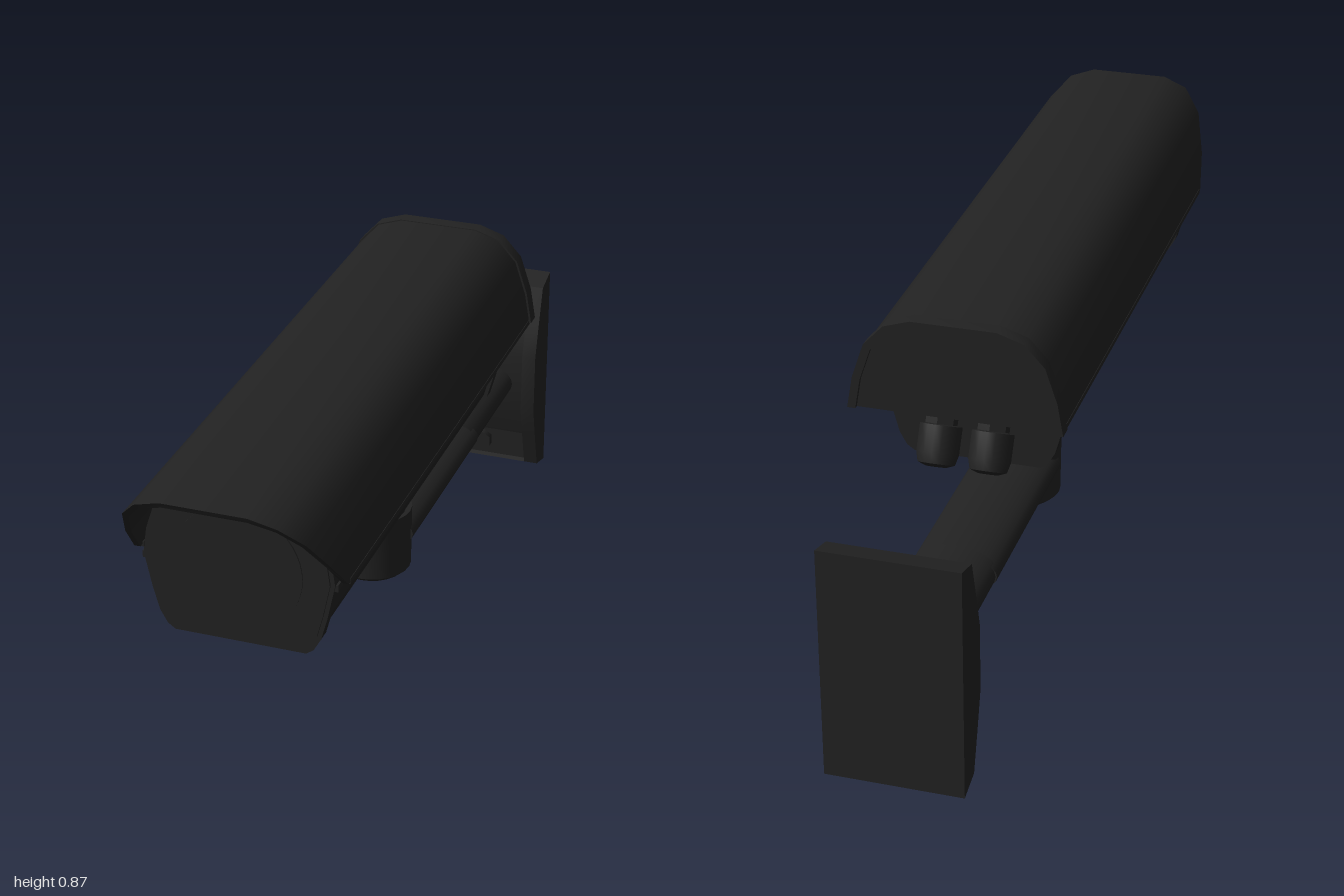
import * as THREE from 'three';
import { toCreasedNormals } from 'three/addons/utils/BufferGeometryUtils.js';

const dark = new THREE.MeshStandardMaterial({ color: 0x222222 });

function add(parent, name, geometry, x = 0, y = 0, z = 0) {
  const mesh = new THREE.Mesh(geometry, dark);
  mesh.name = name;
  mesh.position.set(x, y, z);
  parent.add(mesh);
  return mesh;
}

const box = (w, h, d) => new THREE.BoxGeometry(w, h, d);

// Complete a right-hand half outline with its mirror image
const mirrored = (half) => [...half, ...half.map(([x, y]) => [-x, y]).reverse()];
const toShape = (pts) => new THREE.Shape(pts.map(([x, y]) => new THREE.Vector2(x, y)));

// Front outline extruded from z0 to z1
function extrudeZ(pts, z0, z1) {
  const geo = new THREE.ExtrudeGeometry(toShape(pts), { depth: z1 - z0, bevelEnabled: false });
  geo.translate(0, 0, z0);
  return toCreasedNormals(geo, 0.6);
}

// Side outline of [z, y] points extruded from x0 to x1
function extrudeX(pts, x0, x1) {
  const geo = new THREE.ExtrudeGeometry(toShape(pts), { depth: x1 - x0, bevelEnabled: false });
  geo.rotateY(-Math.PI / 2).translate(x1, 0, 0);
  return toCreasedNormals(geo, 0.4);
}

function lathe(pts, segments) {
  const geo = new THREE.LatheGeometry(pts.map(([r, y]) => new THREE.Vector2(r, y)), segments);
  return toCreasedNormals(geo, 0.6);
}

// Right half of the hood, bottom to top
const hoodHalf = [[0.24, 0.645], [0.227, 0.72], [0.2, 0.802], [0.155, 0.852], [0.095, 0.872]];
const hoodInner = [[0.226, 0.645], [0.214, 0.717], [0.188, 0.794], [0.148, 0.84], [0.092, 0.859]];
const bodyHalf = [[0.148, 0.463], [0.165, 0.475], [0.182, 0.505], [0.197, 0.56], [0.214, 0.64],
  [0.206, 0.7], [0.183, 0.77], [0.145, 0.815], [0.09, 0.83]];

const inset = (half, d) => half.map(([x, y]) => [x * (1 - d / 0.2), 0.645 + (y - 0.645) * (1 - d / 0.19)]);

// Raked front edge of the hood: z as a function of height
function frontZ(y) {
  const steps = [[0.64, 0.81], [0.72, 0.882], [0.802, 0.95], [0.852, 0.99], [0.872, 1]];
  for (let i = 1; i < steps.length; i++) {
    const [y0, z0] = steps[i - 1], [y1, z1] = steps[i];
    if (y <= y1) return z0 + (z1 - z0) * (y - y0) / (y1 - y0);
  }
  return 1;
}

function buildHood() {
  const hood = new THREE.Group();
  hood.name = 'sunHood';
  const band = [...mirrored(hoodHalf), ...mirrored(hoodInner).reverse()];
  const geo = new THREE.ExtrudeGeometry(toShape(band), { depth: 1.52, bevelEnabled: false });
  geo.translate(0, 0, -0.52);
  const p = geo.attributes.position;
  for (let i = 0; i < p.count; i++) if (p.getZ(i) > 0) p.setZ(i, frontZ(p.getY(i)));
  geo.computeVertexNormals();
  add(hood, 'hoodShell', toCreasedNormals(geo, 0.6));

  // Closed rear end with a slightly raised rim
  add(hood, 'hoodEndCap', extrudeZ(mirrored(hoodInner), -0.535, -0.5));
  const rim = hoodHalf.map(([x, y]) => [x * 1.02, y === 0.645 ? y : y + 0.002]);
  add(hood, 'hoodEndRim', extrudeZ([...mirrored(rim), ...mirrored(hoodInner).reverse()], -0.545, -0.51));
  for (const s of [-1, 1]) {
    add(hood, 'hoodSpacer', box(0.008, 0.03, 1.2), s * 0.007, 0.845, 0.22);
    add(hood, 'hoodLowerLip', box(0.018, 0.012, 1.33), s * 0.231, 0.646, 0.14);
  }
  return hood;
}

function buildHousing() {
  const housing = new THREE.Group();
  housing.name = 'housing';
  add(housing, 'housingBody', extrudeZ(mirrored(inset(bodyHalf, 0.008)), -0.36, 0.81));
  add(housing, 'frontFlange', extrudeZ(mirrored(bodyHalf), 0.795, 0.825));
  add(housing, 'frontPlate', extrudeZ(mirrored(inset(bodyHalf, 0.009)), 0.82, 0.83));
  add(housing, 'rearFlange', extrudeZ(mirrored(bodyHalf), -0.38, -0.35));
  const glass = add(housing, 'window', new THREE.CylinderGeometry(0.145, 0.145, 0.006, 48), 0, 0.645, 0.83);
  glass.rotation.x = Math.PI / 2;
  for (const s of [-1, 1]) add(housing, 'seamLip', box(0.016, 0.016, 1.2), s * 0.211, 0.632, 0.22);

  // Angled rear block that carries the cable glands
  add(housing, 'glandBlock', extrudeX([[-0.36, 0.7], [-0.5, 0.7], [-0.5, 0.655], [-0.37, 0.58], [-0.36, 0.58]], -0.13, 0.13));
  const nut = [[0, 0], [0.05, 0], [0.05, 0.022], [0.037, 0.024], [0.037, 0.04]];
  const cap = [[0.037, 0.04], [0.048, 0.042], [0.048, 0.105], [0.042, 0.128], [0.024, 0.135], [0.022, 0.115], [0, 0.115]];
  for (const s of [-1, 1]) {
    const gland = new THREE.Group();
    gland.name = 'cableGland';
    add(gland, 'glandNut', lathe(nut.map(([r, y]) => [r, y]), 6));
    add(gland, 'glandCap', lathe(cap, 16));
    gland.position.set(s * 0.06, 0.615, -0.43);
    gland.rotation.x = Math.PI + 0.5;
    housing.add(gland);
  }
  return housing;
}

function buildBracket() {
  const bracket = new THREE.Group();
  bracket.name = 'wallBracket';
  add(bracket, 'mountingPlate', box(0.25, 0.026, 0.33), 0, 0.453, 0.015);
  for (const z of [0.148, -0.118]) {
    add(bracket, 'plateBolt', new THREE.CylinderGeometry(0.027, 0.027, 0.022, 6).toNonIndexed(), 0, 0.43, z);
  }

  // Sheared neck between the plate and the swivel joint
  const neck = new THREE.CylinderGeometry(0.084, 0.084, 0.15, 24);
  const p = neck.attributes.position;
  for (let i = 0; i < p.count; i++) p.setZ(i, p.getZ(i) + p.getY(i) * 0.35);
  neck.computeVertexNormals();
  add(bracket, 'neck', toCreasedNormals(neck, 0.6), 0, 0.375, 0);

  add(bracket, 'swivelJoint', lathe([[0, 0.168], [0.045, 0.17], [0.08, 0.178], [0.094, 0.19], [0.096, 0.345], [0, 0.345]], 24), 0, 0, -0.02);

  // Flattened arm, in two slightly stepped lengths
  for (const [name, ry, z0, z1] of [['armFront', 0.046, -0.03, -0.56], ['armRear', 0.054, -0.54, -0.9]]) {
    const arm = new THREE.CylinderGeometry(1, 1, z0 - z1, 24);
    arm.rotateX(Math.PI / 2).scale(name === 'armRear' ? 0.096 : 0.1, ry, 1);
    add(bracket, name, toCreasedNormals(arm, 0.6), 0, 0.275, (z0 + z1) / 2);
  }

  // Wall plate: full-height cheeks around a centre with two bolt pockets
  const face = [[-1, 0], [-0.932, 0.018], [-0.902, 0.12], [-0.88, 0.2], [-0.88, 0.362],
    [-0.902, 0.442], [-0.932, 0.544], [-1, 0.562]];
  const centre = [[-1, 0], [-0.932, 0.018], [-0.945, 0.022], [-0.945, 0.12], [-0.902, 0.12], [-0.88, 0.2],
    [-0.88, 0.362], [-0.902, 0.442], [-0.945, 0.442], [-0.945, 0.54], [-0.932, 0.544], [-1, 0.562]];
  const outline = (pts) => pts.slice().reverse();
  add(bracket, 'wallPlateCentre', extrudeX(outline(centre), -0.122, 0.122));
  add(bracket, 'wallPlateCheek', extrudeX(outline(face), 0.122, 0.158));
  add(bracket, 'wallPlateCheek', extrudeX(outline(face), -0.158, -0.122));
  for (const y of [0.065, 0.497]) {
    const bolt = add(bracket, 'wallBolt', new THREE.CylinderGeometry(0.027, 0.027, 0.02, 6).toNonIndexed(), 0, y, -0.936);
    bolt.rotation.x = Math.PI / 2;
  }
  return bracket;
}

export function createModel() {
  const model = new THREE.Group();
  model.name = 'securityCamera';
  model.add(buildHood(), buildHousing(), buildBracket());
  return model;
}
